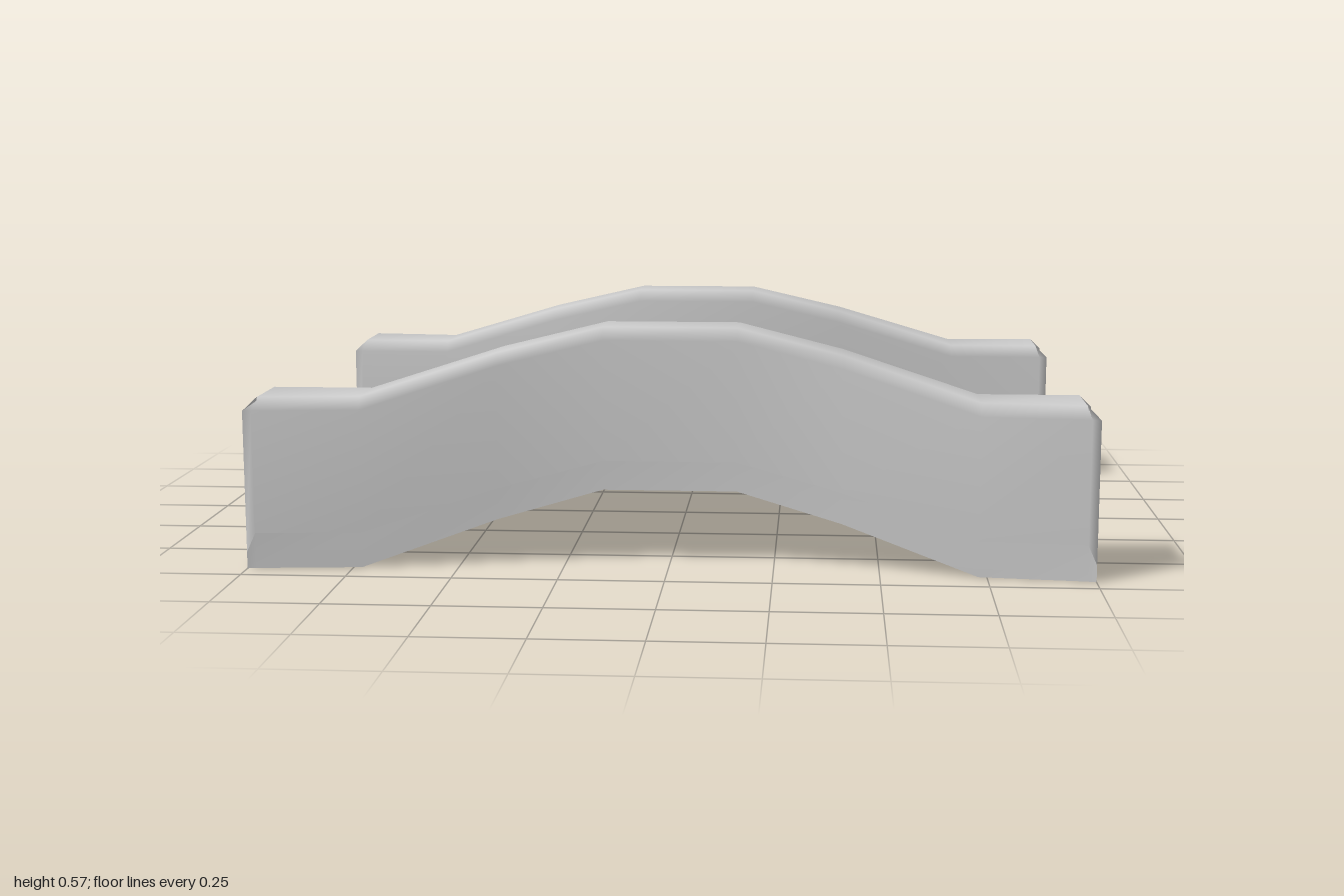
import * as THREE from 'three';
import { toCreasedNormals } from 'three/addons/utils/BufferGeometryUtils.js';

// Half-span stations: x, underside y, deck top y, rail top y, inner z, outer z
const HALF = [
  [0.16, 0.18, 0.25, 0.57, 0.43, 0.58],
  [0.41, 0.11, 0.185, 0.51, 0.45, 0.605],
  [0.73, 0, 0.085, 0.41, 0.49, 0.66],
  [0.98, 0, 0.085, 0.41, 0.49, 0.685],
  [1, 0, 0.04, 0.41, 0.49, 0.69],
];
const STATIONS = [
  ...HALF.slice().reverse().map(([x, ...rest]) => [-x, ...rest]),
  ...HALF,
];

// Skin a row of cross-sections (running along +x) and cap both ends
function loft(sections, closed) {
  const n = sections[0].length;
  const index = [];
  for (let i = 0; i < sections.length - 1; i++) {
    for (let j = 0; j < (closed ? n : n - 1); j++) {
      const k = (j + 1) % n;
      const a = i * n + j, b = a + n, c = (i + 1) * n + k, d = i * n + k;
      index.push(a, b, c, a, c, d);
    }
  }
  const last = (sections.length - 1) * n;
  for (let j = 1; j < n - 1; j++) {
    index.push(0, j, j + 1, last, last + j + 1, last + j);
  }
  const geometry = new THREE.BufferGeometry();
  geometry.setAttribute('position', new THREE.Float32BufferAttribute(sections.flat(2), 3));
  geometry.setIndex(index);
  geometry.computeVertexNormals();
  return geometry;
}

// Curved parapet with a bevelled top; side is 1 for front, -1 for back
function railGeometry(side, drop) {
  const sections = STATIONS.map(([x, , deckY, railY, inner, outer]) => {
    const top = railY - drop;
    const topX = THREE.MathUtils.clamp(x, -0.97, 0.97);
    const points = [
      [x, deckY, outer],
      [x, top - 0.03, outer],
      [topX, top, outer - 0.02],
      [topX, top, inner + 0.02],
      [x, top - 0.03, inner],
      [x, deckY, inner],
    ];
    return side > 0 ? points : points.map(([px, py, pz]) => [px, py, -pz]).reverse();
  });
  return loft(sections, false);
}

// Arched slab with softened ends
function deckGeometry() {
  const sections = STATIONS.map(([x, bottom, top, , , outer]) => [
    [x, bottom, outer],
    [x, top, outer],
    [x, top, -outer],
    [x, bottom, -outer],
  ]);
  return toCreasedNormals(loft(sections, true), 1.2);
}

export function createModel() {
  const group = new THREE.Group();
  group.name = 'archedBridge';
  const material = new THREE.MeshStandardMaterial({ color: 0xcccccc, side: THREE.DoubleSide });
  const add = (name, geometry) => {
    const mesh = new THREE.Mesh(geometry, material);
    mesh.name = name;
    group.add(mesh);
  };
  add('deck', deckGeometry());
  add('frontRail', railGeometry(1, 0));
  add('backRail', railGeometry(-1, 0.02));
  return group;
}
